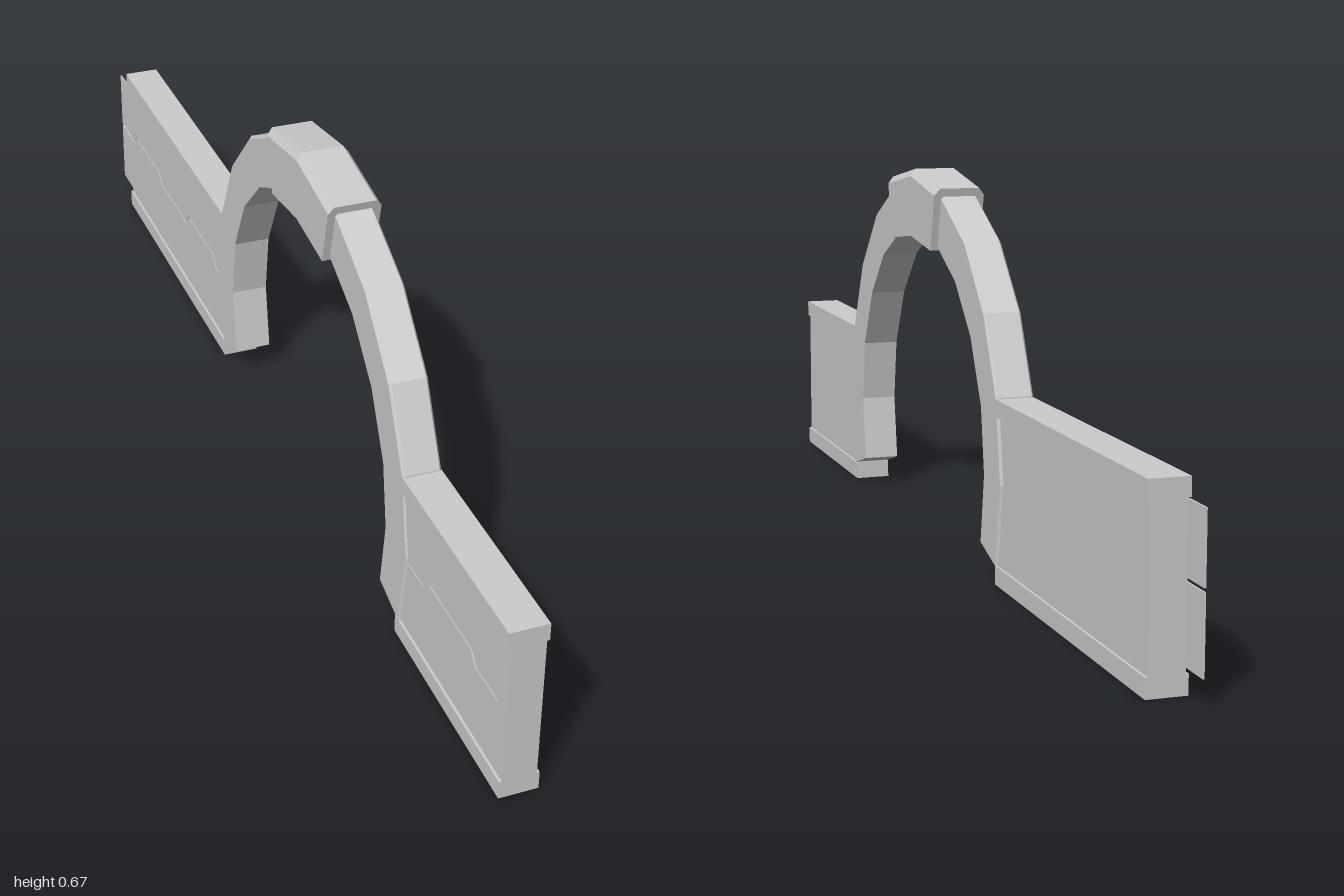
import * as THREE from 'three';

const grey = new THREE.MeshStandardMaterial({ color: 0xcccccc, flatShading: true });
const MID = 0.157; // z of the arch centre

function add(parent, name, geometry) {
  const mesh = new THREE.Mesh(geometry, grey);
  mesh.name = name;
  parent.add(mesh);
  return mesh;
}

// Box between z0..z1 and y0..y1, centred on x
function bar(parent, name, half, y0, y1, z0, z1) {
  const g = new THREE.BoxGeometry(half * 2, y1 - y0, z1 - z0);
  g.translate(0, (y0 + y1) / 2, (z0 + z1) / 2);
  return add(parent, name, g);
}

// Sweeps a block with bevelled outer edges along paired [z, y] points
function archGeometry(outer, inner, half, bevelX, bevelY) {
  const rings = outer.map(([oz, oy], i) => {
    const [iz, iy] = inner[i];
    const t = bevelY / Math.hypot(oz - iz, oy - iy);
    const bz = oz + (iz - oz) * t, by = oy + (iy - oy) * t;
    return [
      [half, iy, iz], [half, by, bz], [half - bevelX, oy, oz],
      [bevelX - half, oy, oz], [-half, by, bz], [-half, iy, iz],
    ];
  });
  const pos = [];
  const tri = (a, b, c) => pos.push(...a, ...b, ...c);
  for (let i = 0; i < rings.length - 1; i++) {
    const a = rings[i], b = rings[i + 1];
    for (let j = 0; j < 6; j++) {
      const k = (j + 1) % 6;
      tri(a[j], b[j], b[k]);
      tri(a[j], b[k], a[k]);
    }
  }
  // end caps
  const first = rings[0], last = rings[rings.length - 1];
  for (let j = 1; j < 5; j++) {
    tri(first[0], first[j], first[j + 1]);
    tri(last[0], last[j + 1], last[j]);
  }
  const g = new THREE.BufferGeometry();
  g.setAttribute('position', new THREE.Float32BufferAttribute(pos, 3));
  g.computeVertexNormals();
  return g;
}

// Half profile measured from the arch centre, mirrored to the full span
function mirrorProfile(half) {
  const full = [...half, ...half.slice(0, -1).reverse().map(([d, y]) => [-d, y])];
  return full.map(([d, y]) => [MID + d, y]);
}

// Two interlocking thin slabs with a stepped joint between them
function panelPair(parent, z0, z1) {
  const w = z1 - z0;
  const step = [[0, 0], [0.25, 0], [0.31, 0.02], [0.74, 0.02], [0.79, 0], [1, 0]];
  const slab = (name, edgeY, jointY) => {
    const pts = step.map(([f, h]) => new THREE.Vector2(z0 + f * w, jointY + h));
    pts.push(new THREE.Vector2(z1, edgeY), new THREE.Vector2(z0, edgeY));
    const g = new THREE.ExtrudeGeometry(new THREE.Shape(pts), { depth: 0.003, bevelEnabled: false });
    g.rotateY(-Math.PI / 2);
    g.translate(-0.027, 0, 0);
    add(parent, name, g);
  };
  slab('lowerPanel', 0.042, 0.165);
  slab('upperPanel', 0.284, 0.171);
}

// Wall section: recessed body between two rails
function wall(name, z0, z1, panels) {
  const g = new THREE.Group();
  g.name = name;
  const front = z1 > MID;
  const innerEnd = (d) => (front ? [z0 - d, z1] : [z0, z1 + d]);
  bar(g, 'wallBody', 0.0285, 0.03, 0.288, ...innerEnd(0));
  bar(g, 'bottomRail', 0.033, 0, 0.032, ...innerEnd(0));
  bar(g, 'topRail', 0.033, 0.285, 0.315, ...innerEnd(0.01));
  for (const [a, b] of panels) panelPair(g, a, b);
  return g;
}

export function createModel() {
  const model = new THREE.Group();
  model.name = 'archedWall';

  model.add(wall('frontWall', 0.593, 1, [[0.6, 0.97]]));
  model.add(wall('backWall', -0.94, -0.288, [[-1, -0.629], [-0.624, -0.27]]));

  // Faceted arch
  const outer = mirrorProfile([
    [0.452, 0.03], [0.476, 0.175], [0.451, 0.318], [0.386, 0.45],
    [0.28, 0.56], [0.15, 0.625], [0, 0.648],
  ]);
  const inner = mirrorProfile([
    [0.369, 0.055], [0.387, 0.175], [0.37, 0.29], [0.313, 0.4],
    [0.226, 0.485], [0.122, 0.535], [0, 0.552],
  ]);
  add(model, 'arch', archGeometry(outer, inner, 0.033, 0.004, 0.005));

  // Keystone block straddling the crown
  const keyOuter = mirrorProfile([[0.15, 0.64], [0, 0.665]]);
  const keyInner = mirrorProfile([[0.122, 0.528], [0, 0.543]]);
  add(model, 'keystone', archGeometry(keyOuter, keyInner, 0.046, 0.01, 0.013));

  return model;
}
